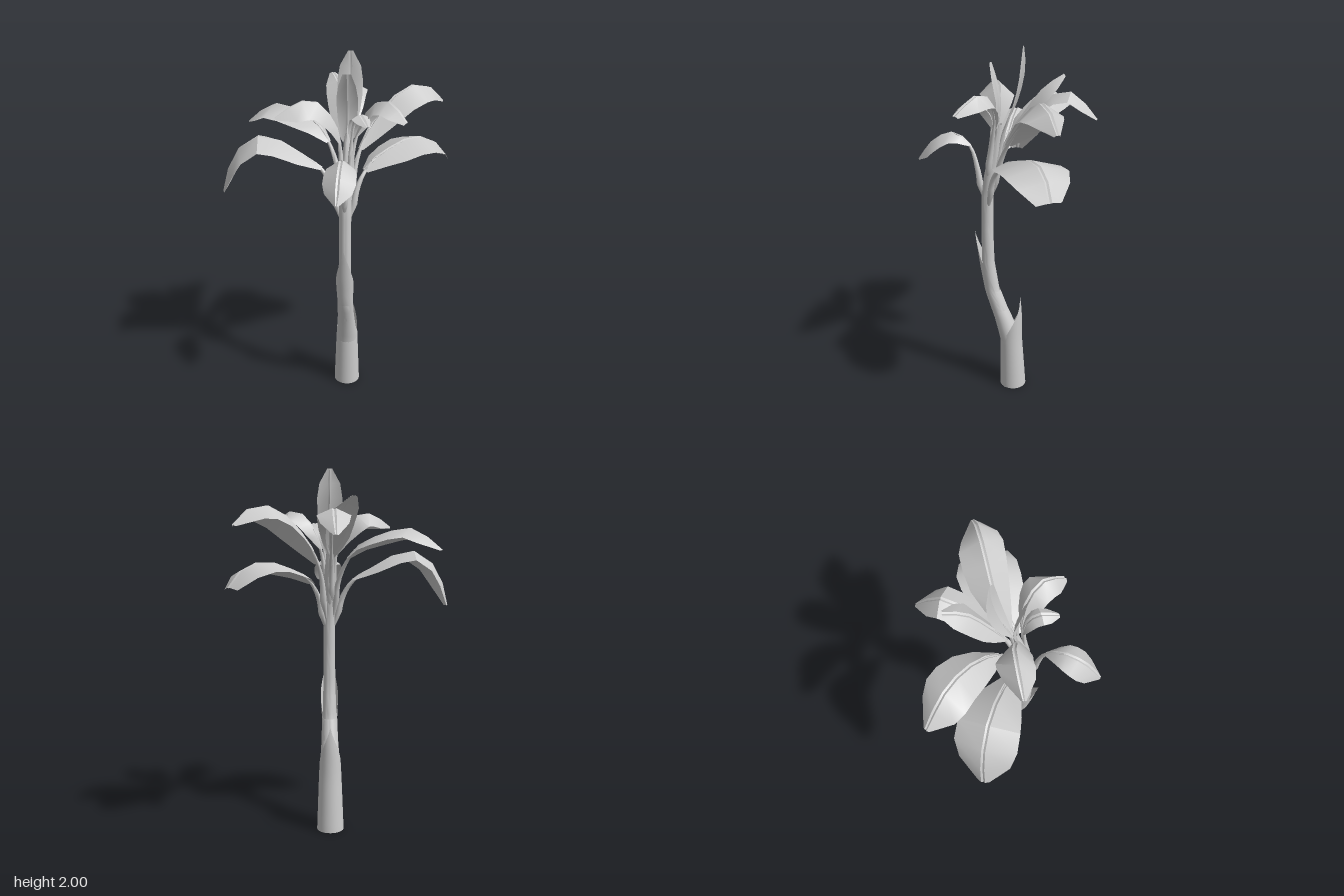
import * as THREE from 'three';
import { toCreasedNormals } from 'three/addons/utils/BufferGeometryUtils.js';

const material = new THREE.MeshStandardMaterial({ color: 0xcccccc, side: THREE.DoubleSide });
const X = 0.07; // plant axis

// Grid surface from rows of points, all rows of equal length
function skin(rows, crease = 0.6) {
  const n = rows[0].length, index = [];
  for (let i = 0; i < rows.length - 1; i++) {
    for (let j = 0; j < n - 1; j++) {
      const a = i * n + j, b = a + n;
      index.push(a, b, a + 1, b, b + 1, a + 1);
    }
  }
  const geo = new THREE.BufferGeometry().setFromPoints(rows.flat());
  geo.setIndex(index);
  return toCreasedNormals(geo, crease);
}

function add(group, name, geo) {
  const mesh = new THREE.Mesh(geo, material);
  mesh.name = name;
  group.add(mesh);
  return mesh;
}

// Centre z and radius at a height, from [y, z, r] stations
function station(list, y) {
  let i = 1;
  while (i < list.length - 1 && list[i][0] < y) i++;
  const [a, b] = [list[i - 1], list[i]];
  const t = THREE.MathUtils.clamp((y - a[0]) / (b[0] - a[0]), 0, 1);
  return [a[1] + (b[1] - a[1]) * t, a[2] + (b[2] - a[2]) * t];
}

// Upright tube through stations; topAt(angle) gives the rim height
function stalk(list, topAt, steps, sides = 24) {
  const y0 = list[0][0], rows = [];
  for (let i = 0; i <= steps; i++) {
    const row = [];
    for (let j = 0; j <= sides; j++) {
      const a = (j / sides) * Math.PI * 2;
      const y = y0 + (topAt(a) - y0) * (i / steps);
      const [z, r] = station(list, y);
      row.push(new THREE.Vector3(X + Math.sin(a) * r, y, z + Math.cos(a) * r));
    }
    rows.push(row);
  }
  return skin(rows, 0.9);
}

// Sheath rim: low all round, rising to a pointed tip at one angle
const pointedRim = (low, high, tipAngle, spread) => (a) => {
  const d = Math.abs(Math.atan2(Math.sin(a - tipAngle), Math.cos(a - tipAngle)));
  return low + (high - low) * Math.max(0, 1 - d / spread);
};

const BLADE = [0.18, 0.6, 0.87, 0.98, 1, 0.82];

// Leaf: tapering stalk along the rib and a folded blade with a grooved midrib
function leaf(name, points, halfWidth, fold, start, tipWidth = 0.14) {
  const group = new THREE.Group();
  group.name = name;
  const curve = new THREE.CatmullRomCurve3(points.map((p) => new THREE.Vector3(...p)));
  const tip = points[points.length - 1];
  const out = new THREE.Vector3(tip[0] - X, 0, tip[2] - 0.03).normalize();
  const side = new THREE.Vector3(-out.z, 0, out.x);
  const frame = (u) => {
    const p = curve.getPointAt(u), t = curve.getTangentAt(u);
    return { p, up: new THREE.Vector3().crossVectors(side, t).normalize() };
  };

  // Blade cross-section: edge, shoulder, shallow groove, shoulder, edge
  const rows = [...BLADE, tipWidth].map((w, i) => {
    const { p, up } = frame(start + (1 - start) * (i / BLADE.length));
    const half = halfWidth * w, rib = Math.min(0.01, half * 0.4);
    return [[-half, -half * fold], [-rib, 0], [0, -rib * 0.5], [rib, 0], [half, -half * fold]]
      .map(([s, h]) => p.clone().addScaledVector(side, s).addScaledVector(up, h));
  });
  add(group, name + 'Blade', skin(rows, 0.7));

  // Leaf stalk, swelling out of the stem and thinning into the midrib
  const stem = [];
  for (let i = 0; i <= 12; i++) {
    const t = i / 12;
    const { p, up } = frame(t * (start + 0.15));
    const r = t < 0.25 ? 0.004 + 0.06 * t : 0.003 + 0.0213 * (1 - t);
    stem.push(Array.from({ length: 9 }, (_, j) => {
      const a = (j / 8) * Math.PI * 2;
      return p.clone().addScaledVector(side, Math.cos(a) * r)
        .addScaledVector(up, Math.sin(a) * r - r);
    }));
  }
  add(group, name + 'Stalk', skin(stem, 0.9));
  return group;
}

export function createModel() {
  const model = new THREE.Group();
  model.name = 'palmPlant';

  // Trunk: leaning stem rising out of the base sheath
  const stem = [[0.2, -0.05, 0.062], [0.31, -0.043, 0.063], [0.45, 0.005, 0.051], [0.6, 0.064, 0.041],
    [0.8, 0.09, 0.035], [1, 0.094, 0.033], [1.2, 0.09, 0.033], [1.32, 0.073, 0.034],
    [1.45, 0.048, 0.028], [1.6, 0.02, 0.012]];
  add(model, 'stem', stalk(stem, () => 1.6, 28));

  // Base sheath with a pointed tip at the back
  const base = [[0, -0.055, 0.076], [0.31, -0.044, 0.064], [0.42, -0.048, 0.058], [0.5, -0.055, 0.05],
    [0.6, -0.062, 0.032]];
  add(model, 'baseSheath', stalk(base, pointedRim(0.31, 0.6, Math.PI, 2.2), 12, 32));
  const floor = add(model, 'baseCap', new THREE.CircleGeometry(0.076, 24));
  floor.rotation.x = Math.PI / 2;
  floor.position.set(X, 0, -0.055);

  // Upper sheath with a pointed tip at the front
  const upper = [[0.48, 0.018, 0.048], [0.62, 0.066, 0.044], [0.78, 0.085, 0.052],
    [0.88, 0.1, 0.05], [0.98, 0.125, 0.04]];
  add(model, 'upperSheath', stalk(upper, pointedRim(0.62, 0.98, 0, 2.2), 12, 32));

  // Lower ring of large leaves
  model.add(
    leaf('lowerWestLeaf', [[0.06, 1.12, 0.09], [0.01, 1.32, 0.075], [-0.06, 1.42, 0.05], [-0.2, 1.5, 0.035],
      [-0.37, 1.58, 0.035], [-0.53, 1.48, 0.05], [-0.6, 1.27, 0.07]], 0.155, 0.35, 0.3, 0.2),
    leaf('lowerEastLeaf', [[0.08, 1.12, 0.09], [0.12, 1.32, 0.05], [0.18, 1.42, -0.02], [0.28, 1.48, -0.13],
      [0.42, 1.52, -0.24], [0.53, 1.47, -0.31], [0.585, 1.39, -0.34]], 0.165, 0.28, 0.33, 0.4),
    leaf('frontLeaf', [[0.07, 1.15, 0.095], [0.07, 1.35, 0.13], [0.07, 1.48, 0.18], [0.07, 1.54, 0.28],
      [0.07, 1.49, 0.39], [0.07, 1.38, 0.475]], 0.083, 0.6, 0.47),
  );

  // Middle ring
  model.add(
    leaf('middleWestLeaf', [[0.06, 1.17, 0.085], [0.03, 1.42, 0.03], [-0.07, 1.59, -0.06],
      [-0.2, 1.66, -0.14], [-0.36, 1.69, -0.19], [-0.51, 1.58, -0.23]], 0.125, 0.42, 0.4),
    leaf('middleEastLeaf', [[0.08, 1.17, 0.08], [0.11, 1.45, 0], [0.2, 1.64, -0.12],
      [0.34, 1.78, -0.22], [0.45, 1.8, -0.29], [0.555, 1.7, -0.36]], 0.115, 0.65, 0.34),
    leaf('backLeaf', [[0.07, 1.2, 0.085], [0.065, 1.45, 0.03], [0.06, 1.62, -0.1],
      [0.055, 1.76, -0.24], [0.055, 1.78, -0.35], [0.05, 1.65, -0.48]], 0.087, 0.4, 0.4),
  );

  // Small upper leaves
  model.add(
    leaf('upperBackLeaf', [[0.065, 1.25, 0.08], [0.06, 1.5, 0], [0.04, 1.66, -0.1],
      [0.01, 1.79, -0.2], [-0.045, 1.85, -0.29]], 0.078, 0.5, 0.42, 0.25),
    leaf('upperWestLeaf', [[0.065, 1.25, 0.08], [0.05, 1.5, 0.05], [0.01, 1.66, 0.045],
      [-0.08, 1.77, 0.06], [-0.16, 1.78, 0.1], [-0.28, 1.71, 0.17]], 0.09, 0.85, 0.38),
    leaf('upperEastLeaf', [[0.075, 1.25, 0.08], [0.09, 1.5, 0.05], [0.14, 1.66, 0.03],
      [0.21, 1.77, 0.05], [0.29, 1.79, 0.09], [0.38, 1.71, 0.17]], 0.08, 0.65, 0.43, 0.25),
    leaf('upperFrontLeaf', [[0.075, 1.28, 0.07], [0.09, 1.55, 0.05], [0.11, 1.67, 0.06],
      [0.14, 1.73, 0.11], [0.19, 1.69, 0.2]], 0.05, 0.4, 0.5, 0.25),
  );

  // Upright crown leaves
  model.add(
    leaf('crownBackLeaf', [[0.07, 1.28, 0.075], [0.07, 1.55, 0.01], [0.07, 1.7, -0.05],
      [0.07, 1.84, -0.085], [0.07, 2, -0.1]], 0.067, 0.12, 0.4, 0.2),
    leaf('crownFrontLeaf', [[0.07, 1.28, 0.075], [0.07, 1.55, 0.03], [0.07, 1.72, 0.02],
      [0.07, 1.82, 0.04], [0.07, 1.915, 0.065]], 0.055, 0.12, 0.4, 0.4),
  );

  return model;
}
